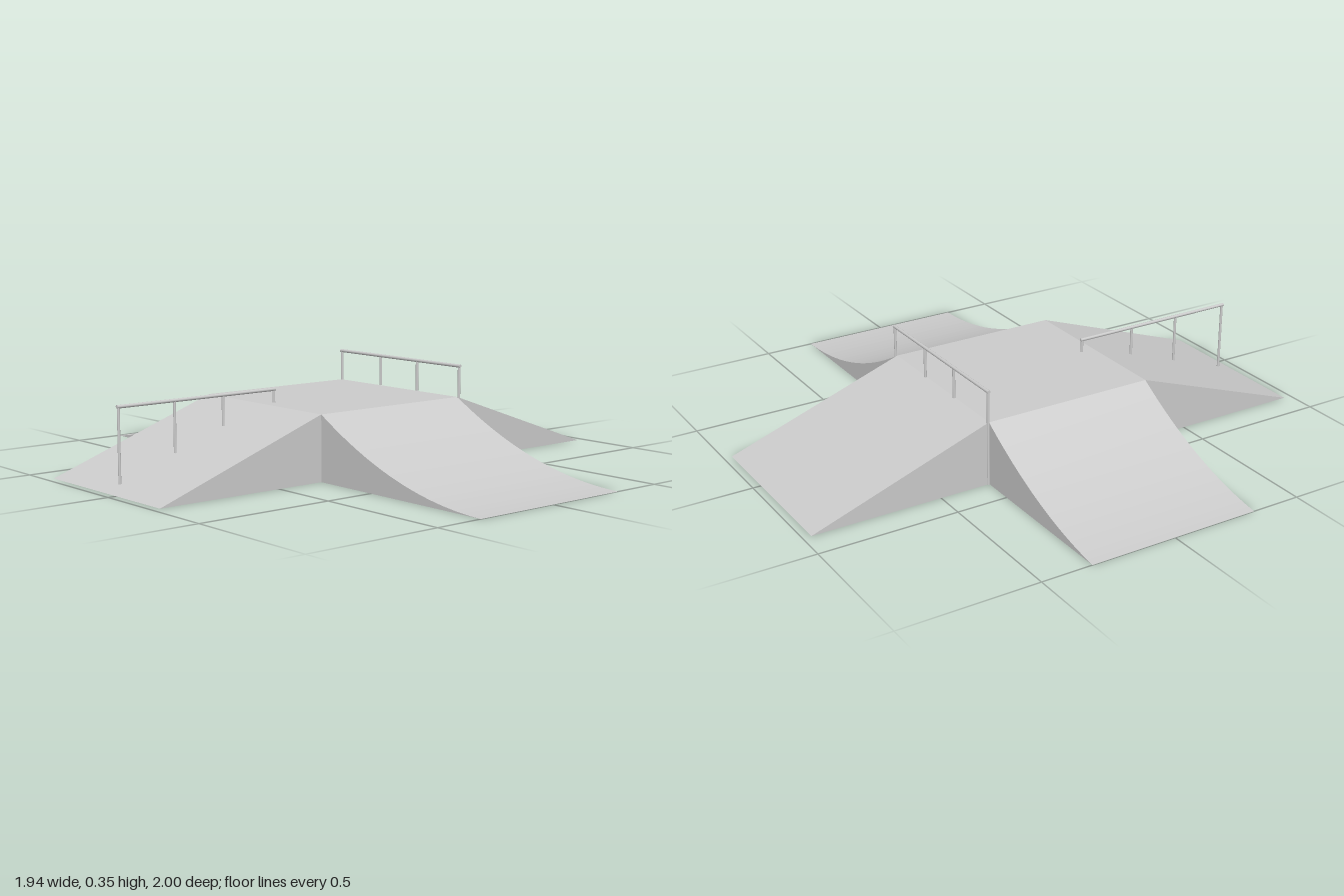
import * as THREE from 'three';

const H = 0.23;                                        // deck height
const X0 = -0.32, X1 = 0.315, Z0 = -0.39, Z1 = 0.25;   // deck outline
const CX = (X0 + X1) / 2, CZ = (Z0 + Z1) / 2;

const material = new THREE.MeshStandardMaterial({ color: 0xcccccc });

function addMesh(parent, name, geometry) {
  const mesh = new THREE.Mesh(geometry, material);
  mesh.name = name;
  parent.add(mesh);
  return mesh;
}

// Ramp falling away from the deck along +x; bend 0 is straight, 1 a full parabola
function rampGeometry(length, width, bend) {
  const steps = bend ? 20 : 1;
  const shape = new THREE.Shape();
  shape.moveTo(0, 0);
  shape.lineTo(length, 0);
  for (let i = 1; i <= steps; i++) {
    const t = i / steps;
    shape.lineTo(length * (1 - t), H * (bend * t * t + (1 - bend) * t));
  }
  const geometry = new THREE.ExtrudeGeometry(shape, { depth: width, bevelEnabled: false });
  return geometry.translate(0, 0, -width / 2);
}

// Round bar between two points
function addBar(parent, name, a, b, radius) {
  const dir = b.clone().sub(a);
  const bar = addMesh(parent, name, new THREE.CylinderGeometry(radius, radius, dir.length(), 10));
  bar.position.copy(a).add(b).multiplyScalar(0.5);
  bar.quaternion.setFromUnitVectors(new THREE.Vector3(0, 1, 0), dir.normalize());
}

// Rail along local x with posts given as [x, foot height]
function createRail(name, top, posts) {
  const rail = new THREE.Group();
  rail.name = name;
  const v = (x, y) => new THREE.Vector3(x, y, 0);
  const first = posts[0][0], last = posts[posts.length - 1][0];
  addBar(rail, 'railBar', v(first - 0.006, top), v(last + 0.006, top), 0.006);
  for (const [x, foot] of posts) addBar(rail, 'railPost', v(x, foot), v(x, top), 0.005);
  return rail;
}

export function createModel() {
  const model = new THREE.Group();
  model.name = 'skateRamp';

  // Central deck
  addMesh(model, 'deck', new THREE.BoxGeometry(X1 - X0, H, Z1 - Z0)).position.set(CX, H / 2, CZ);

  // Straight ramps on the sides, curved ramps front and back
  const ramps = [
    ['leftRamp', 0.97 - X1, Z1 - Z0, 0, X1, CZ, 0],
    ['rightRamp', X0 + 0.97, Z1 - Z0, 0, X0, CZ, Math.PI],
    ['frontCurvedRamp', 1 - Z1, X1 - X0, 0.95, CX, Z1, -Math.PI / 2],
    ['backCurvedRamp', Z0 + 1, X1 - X0, 0.7, CX, Z0, Math.PI / 2],
  ];
  for (const [name, length, width, bend, x, z, turn] of ramps) {
    const ramp = addMesh(model, name, rampGeometry(length, width, bend));
    ramp.position.set(x, 0, z);
    ramp.rotation.y = turn;
  }

  // Grind rail over the right ramp, its posts standing on the slope
  const slope = (x) => Math.min(H, H * (x + 0.97) / (X0 + 0.97));
  const grindRail = createRail('grindRail', 0.277,
    [-0.91, -0.69, -0.49, -0.27].map((x) => [x, slope(x)]));
  grindRail.position.z = -0.07;
  model.add(grindRail);

  // Edge rail across the deck, its end posts reaching the ground
  const edgeRail = createRail('edgeRail', 0.342,
    [[-0.255, 0], [-0.035, H], [0.165, H], [0.39, 0]]);
  edgeRail.position.x = 0.318;
  edgeRail.rotation.y = Math.PI / 2;
  model.add(edgeRail);

  return model;
}
